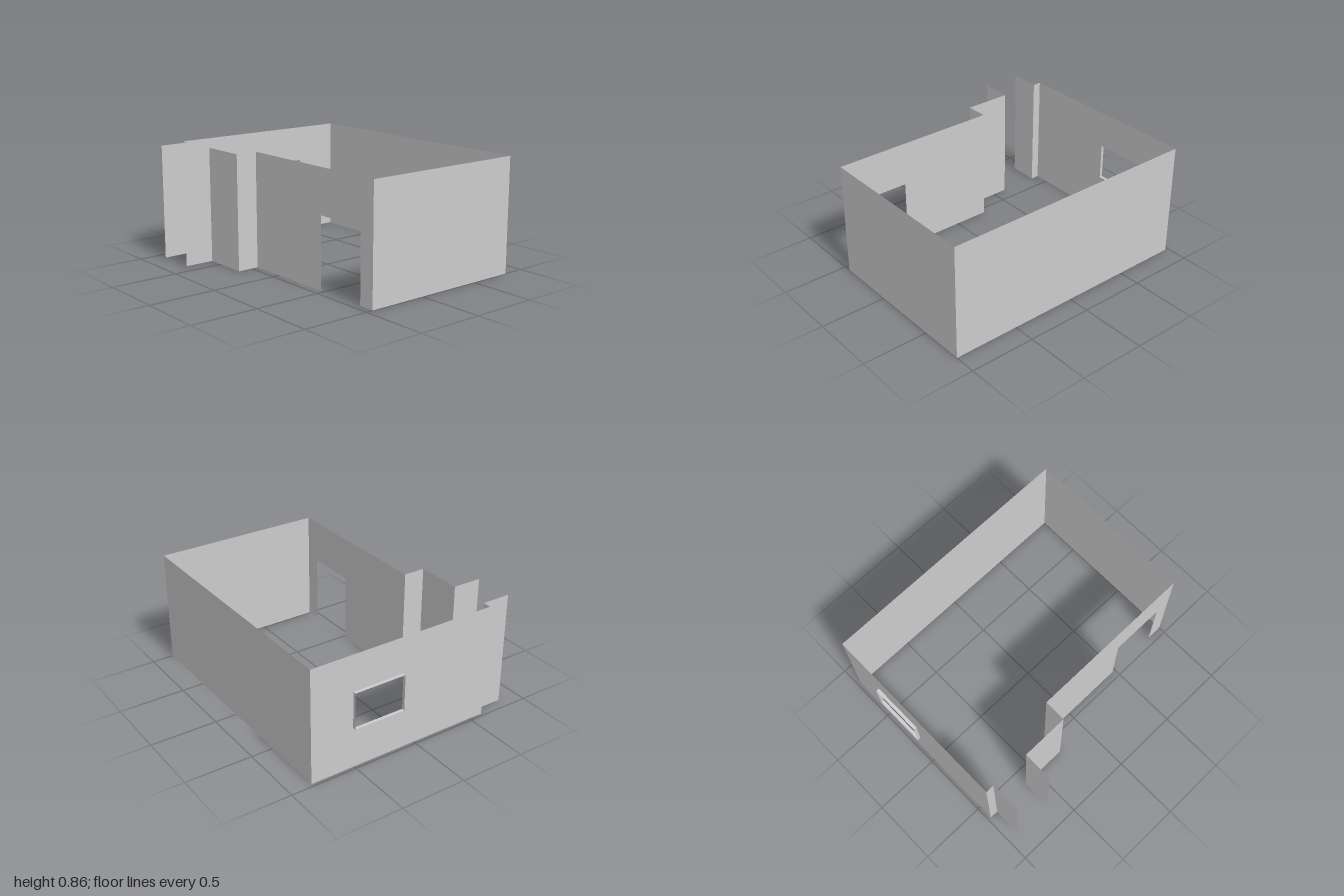
import * as THREE from 'three';

const HEIGHT = 0.86;
const material = new THREE.MeshStandardMaterial({ color: 0xcccccc, side: THREE.DoubleSide, flatShading: true });

// Upright sheet standing on the floor line from [x, z] to [x, z].
// outline and hole are given as [distance along wall, height] points.
function wall(name, [x0, z0], [x1, z1], outline, hole) {
  const length = Math.hypot(x1 - x0, z1 - z0);
  const toPoints = (list) => list.map(([u, y]) => new THREE.Vector2(u, y));
  const shape = new THREE.Shape(toPoints(outline || [[0, 0], [length, 0], [length, HEIGHT], [0, HEIGHT]]));
  if (hole) shape.holes.push(new THREE.Path(toPoints(hole)));
  const mesh = new THREE.Mesh(new THREE.ShapeGeometry(shape), material);
  mesh.name = name;
  mesh.position.set(x0, 0, z0);
  mesh.rotation.y = -Math.atan2(z1 - z0, x1 - x0);
  return mesh;
}

export function createModel() {
  const room = new THREE.Group();
  room.name = 'room';

  const left = 1, right = -0.976, back = -0.835;
  const front = 0.447, step = 0.612, outer = 0.835;
  const jambRight = -0.913, jambLeft = -0.614, recess = -0.262;

  // Back and left side walls
  room.add(wall('backWall', [right, back], [left, back]));
  room.add(wall('leftWall', [left, back], [left, front]));

  // Front wall with a doorway cut up from the floor
  const width = left - recess, d0 = 0.475 - recess, d1 = 0.88 - recess, doorTop = 0.53;
  room.add(wall('frontWall', [recess, front], [left, front], [
    [0, 0], [d0, 0], [d0, doorTop], [d1, doorTop], [d1, 0], [width, 0], [width, HEIGHT], [0, HEIGHT],
  ]));

  // Right side wall with a window opening
  const wz0 = -0.51, wz1 = -0.112, wy0 = 0.31, wy1 = 0.585;
  const u0 = wz0 - back, u1 = wz1 - back;
  room.add(wall('rightWall', [right, back], [right, step], null, [[u0, wy0], [u0, wy1], [u1, wy1], [u1, wy0]]));

  // Stepped entrance walls
  const entrance = new THREE.Group();
  entrance.name = 'entrance';
  entrance.add(
    wall('frontStep', [recess, front], [recess, step]),
    wall('entrancePanel', [jambLeft, step], [recess, step]),
    wall('leftEntranceWall', [jambLeft, step], [jambLeft, outer]),
    wall('rightReturn', [right, step], [jambRight, step]),
    wall('rightEntranceWall', [jambRight, step], [jambRight, outer]),
  );
  room.add(entrance);

  // Window reveal reaching outwards from the opening
  const reveal = new THREE.Group();
  reveal.name = 'windowReveal';
  const depth = right + 1, cx = (right - 1) / 2;
  for (const [name, y] of [['windowSill', wy0], ['windowHead', wy1]]) {
    const mesh = new THREE.Mesh(new THREE.PlaneGeometry(depth, wz1 - wz0), material);
    mesh.name = name;
    mesh.rotation.x = -Math.PI / 2;
    mesh.position.set(cx, y, (wz0 + wz1) / 2);
    reveal.add(mesh);
  }
  for (const [name, z] of [['windowBackSide', wz0], ['windowFrontSide', wz1]]) {
    const mesh = new THREE.Mesh(new THREE.PlaneGeometry(depth, wy1 - wy0), material);
    mesh.name = name;
    mesh.position.set(cx, (wy0 + wy1) / 2, z);
    reveal.add(mesh);
  }
  room.add(reveal);

  return room;
}
